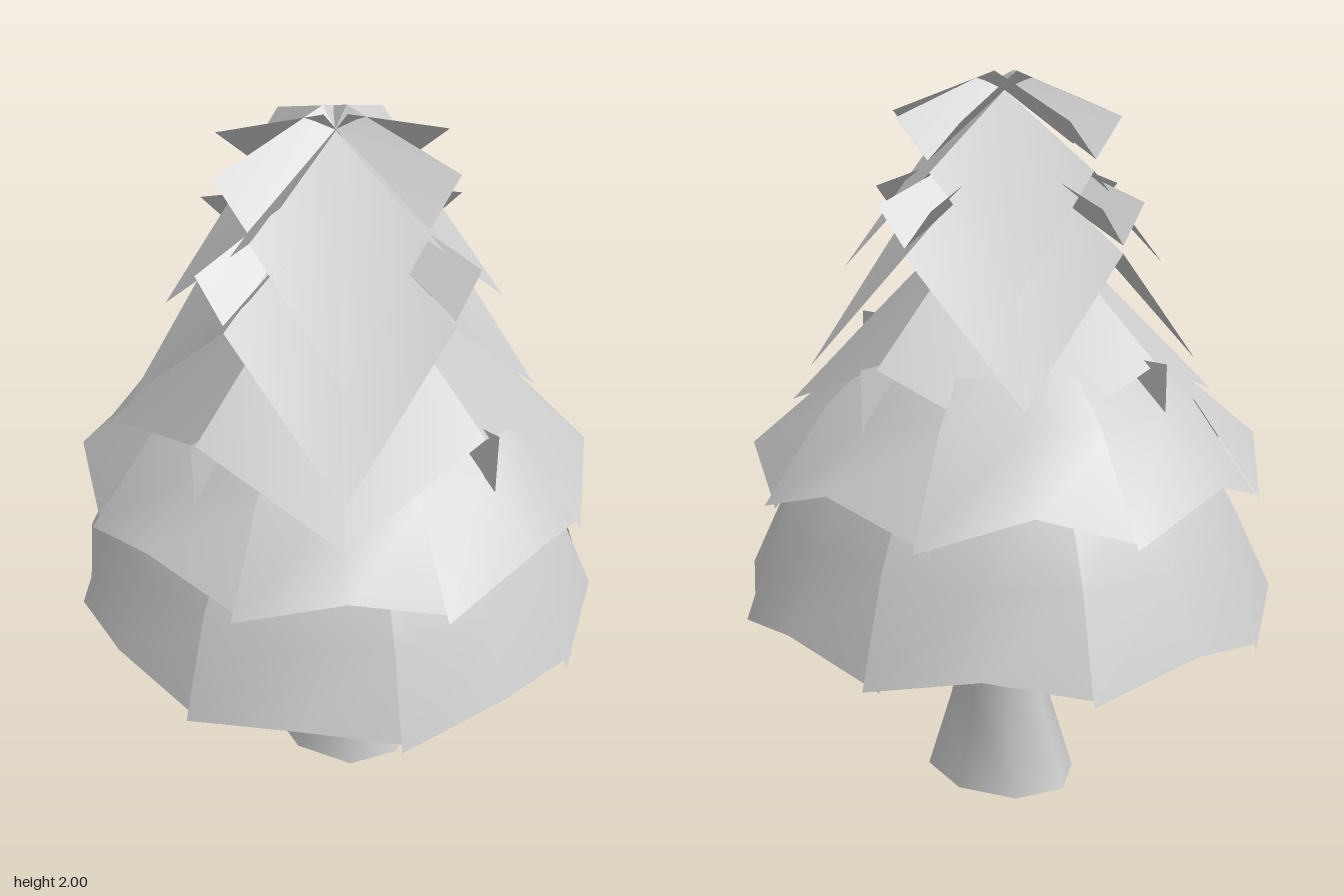
import * as THREE from 'three';

const CX = 0.035, CZ = 0.015; // the trunk axis

function surface(points, index) {
  const g = new THREE.BufferGeometry();
  g.setAttribute('position', new THREE.Float32BufferAttribute(points.flat(), 3));
  g.setIndex(index);
  g.computeVertexNormals();
  return g;
}

// Point at an angle in degrees, measured from the front (+z) towards +x
function polar(deg, r, y) {
  const a = THREE.MathUtils.degToRad(deg);
  return [Math.sin(a) * r, y, Math.cos(a) * r];
}

// One drooping skirt panel: low corners, raised middle of the hem
function panelGeometry(start, span, rings, notch) {
  const pts = [], idx = [];
  rings.forEach(([r, y], k) => {
    for (let i = 0; i <= 2; i++) {
      const overlap = 1.012 - 0.012 * i;
      const lift = k === 0 && i === 1 ? notch : 0;
      pts.push(polar(start + span * i / 2, r * overlap, y + lift));
    }
  });
  for (let k = 0; k < rings.length - 1; k++) {
    for (let i = 0; i < 2; i++) {
      const a = k * 3 + i, b = a + 1, d = a + 3, c = d + 1;
      idx.push(a, b, c, a, c, d);
    }
  }
  return surface(pts, idx);
}

// Hanging kite between two neighbouring arms
function kiteGeometry(start, top, axis, corner) {
  return surface([
    [0, top, 0],
    polar(start, ...axis),
    polar(start + 45, ...corner),
    polar(start + 90, ...axis),
  ], [0, 1, 2, 0, 2, 3]);
}

// Valley-folded arm pointing to the front
function armGeometry(r, top, tip, width) {
  const pts = [
    [-0.04, top, 0], [0, top - 0.05, 0], [0.04, top, 0],
    [-width, tip, r], [0, tip - 0.1, r], [width, tip, r],
  ];
  // Separate halves keep the fold sharp
  return surface([pts[0], pts[3], pts[4], pts[1], pts[1], pts[4], pts[5], pts[2]],
    [0, 1, 2, 0, 2, 3, 4, 5, 6, 4, 6, 7]);
}

export function createModel() {
  const tree = new THREE.Group();
  tree.name = 'tree';
  const grey = new THREE.MeshStandardMaterial({ color: 0xcccccc, side: THREE.DoubleSide });
  grey.name = 'plain grey';

  const add = (parent, name, geometry) => {
    const m = new THREE.Mesh(geometry, grey);
    m.name = name;
    parent.add(m);
    return m;
  };
  const group = (name, x, z) => {
    const g = new THREE.Group();
    g.name = name;
    g.position.set(x, 0, z);
    tree.add(g);
    return g;
  };

  // Flared trunk
  const profile = [[0.235, 0], [0.155, 0.24], [0.13, 0.6], [0.1, 1.2], [0.02, 1.85]]
    .map(([r, y]) => new THREE.Vector2(r, y));
  const trunk = add(tree, 'trunk', new THREE.LatheGeometry(profile, 8));
  trunk.scale.z = 0.79;
  trunk.position.set(CX, 0, CZ);

  // Crossed upright cards inside the crown
  const cards = group('innerCards', CX, CZ);
  for (const turn of [0, Math.PI / 2]) {
    const card = add(cards, 'innerCard', new THREE.PlaneGeometry(1.07, 0.77));
    card.position.set(turn ? 0 : -0.01, 0.915, 0);
    card.rotation.y = turn;
  }

  // Two wide skirts of eight overlapping panels
  const skirts = [
    { name: 'lowerSkirt', offset: 11.25, notch: 0.07, depth: 0.95,
      rings: [[0.745, 0.55], [0.65, 0.82], [0.52, 1.06], [0.28, 1.3]] },
    { name: 'upperSkirt', offset: 22, notch: 0.1, depth: 0.97,
      rings: [[0.7, 0.92], [0.52, 1.17], [0.32, 1.34], [0.1, 1.5]] },
  ];
  for (const s of skirts) {
    const skirt = group(s.name, 0, 0);
    skirt.scale.z = s.depth;
    for (let i = 0; i < 8; i++) {
      add(skirt, 'skirtPanel', panelGeometry(s.offset - 1.5 + i * 45, 48, s.rings, s.notch));
    }
  }

  // Three square tiers; the upper two carry folded arms
  const tiers = [
    { name: 'lowerTier', top: 1.72, axis: [0.5, 1.29], corner: [0.58, 1.13] },
    { name: 'middleTier', top: 1.82, axis: [0.39, 1.56], corner: [0.53, 1.22],
      arm: [0.39, 1.82, 1.68, 0.09] },
    { name: 'topTier', top: 1.95, axis: [0.295, 1.76], corner: [0.43, 1.49],
      arm: [0.3, 2.0, 1.89, 0.11] },
  ];
  for (const t of tiers) {
    const tier = group(t.name, CX, 0.035);
    for (let i = 0; i < 4; i++) {
      add(tier, 'hangingLeaf', kiteGeometry(i * 90, t.top, t.axis, t.corner));
      if (t.arm) add(tier, 'foldedArm', armGeometry(...t.arm)).rotation.y = i * Math.PI / 2;
    }
  }
  return tree;
}
